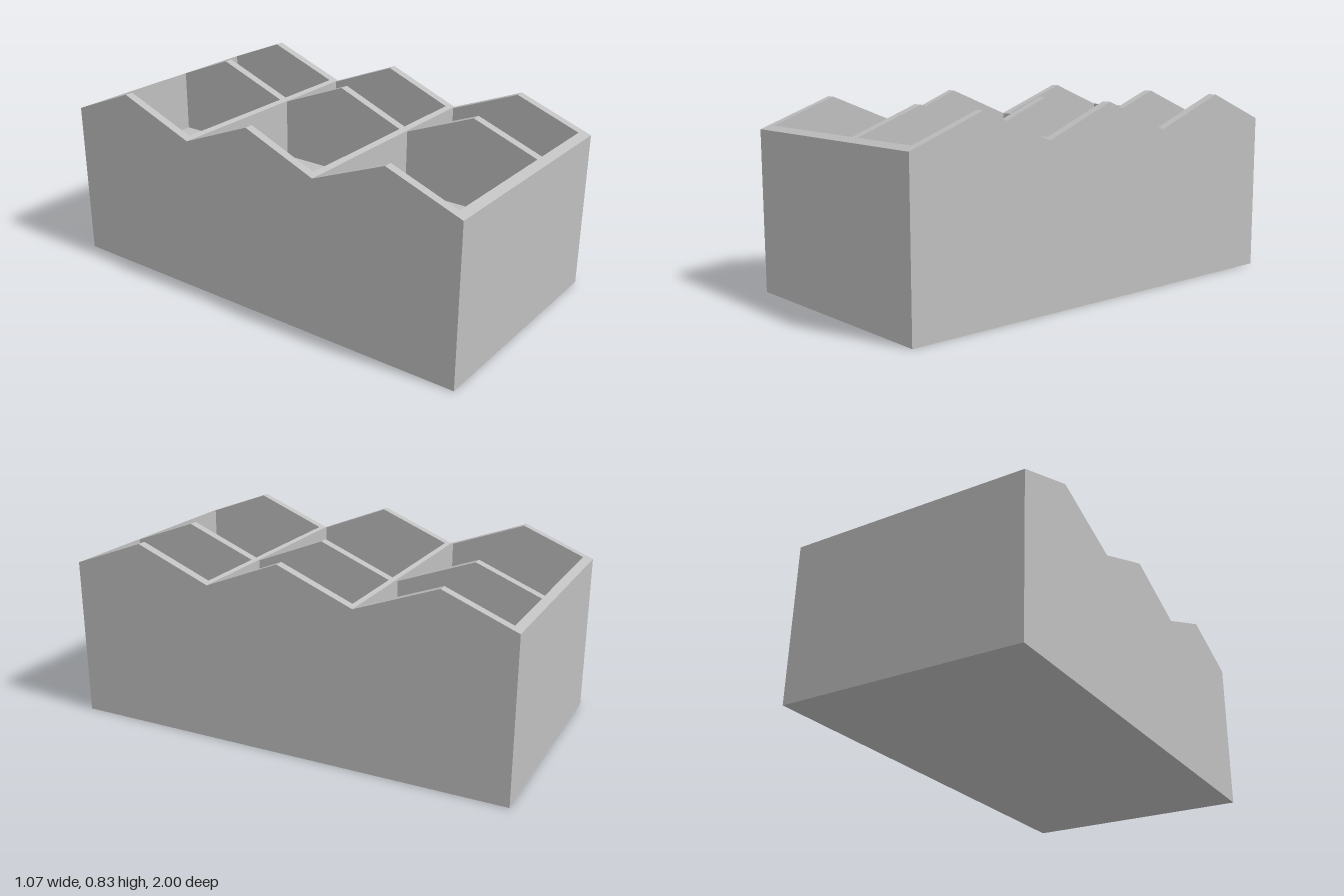
import * as THREE from 'three';

const FLOOR = 0.43;
// Roofline along the length: [z, y]
const ridge = [[-1, 0.703], [-0.69, 0.827], [-0.333, 0.693], [0, 0.827], [0.333, 0.693], [0.667, 0.827], [1, 0.703]];
// Compartment spans across and along the tray
const cellX = [[-0.495, 0.11], [0.15, 0.493]];
const cellZ = [[-0.965, -0.355], [-0.315, 0.31], [0.35, 0.96]];
const HALF = 0.533;

function ridgeHeight(z) {
  for (let i = 1; i < ridge.length; i++) {
    const [z0, y0] = ridge[i - 1], [z1, y1] = ridge[i];
    if (z <= z1) return y0 + (y1 - y0) * (z - z0) / (z1 - z0);
  }
  return ridge[ridge.length - 1][1];
}

const inSpan = (spans, v) => spans.some(([a, b]) => v > a && v < b);

export function createModel() {
  const group = new THREE.Group();
  group.name = 'compartmentTray';
  const grey = new THREE.MeshStandardMaterial({ color: 0xbfbfbf });
  grey.name = 'grey';

  // Grid lines at every wall face and every crease of the roofline
  const xs = [-HALF, ...cellX.flat(), HALF];
  const zs = [...ridge.map(p => p[0]), ...cellZ.flat()].sort((a, b) => a - b);
  const parts = { rim: [], compartmentFloors: [], compartmentWalls: [], outerWalls: [], base: [] };

  const quad = (part, a, b, c, d) => parts[part].push(...a, ...b, ...c, ...a, ...c, ...d);

  // What fills grid square (i, j): outside, compartment or wall
  const kind = (i, j) => {
    if (i < 0 || j < 0 || i >= xs.length - 1 || j >= zs.length - 1) return 'outside';
    const open = inSpan(cellX, (xs[i] + xs[i + 1]) / 2) && inSpan(cellZ, (zs[j] + zs[j + 1]) / 2);
    return open ? 'compartment' : 'wall';
  };

  // Vertical face between two points, facing the lower neighbour
  const side = (near, far, p, q) => {
    if (near === far || (near !== 'wall' && far !== 'wall')) return;
    const other = near === 'wall' ? far : near;
    const low = other === 'outside' ? 0 : FLOOR;
    const part = other === 'outside' ? 'outerWalls' : 'compartmentWalls';
    const [a, b] = near === 'wall' ? [p, q] : [q, p];
    quad(part, [a[0], low, a[1]], [b[0], low, b[1]],
      [b[0], ridgeHeight(b[1]), b[1]], [a[0], ridgeHeight(a[1]), a[1]]);
  };

  for (let i = 0; i < xs.length; i++) {
    for (let j = 0; j < zs.length; j++) {
      const x0 = xs[i], x1 = xs[i + 1], z0 = zs[j], z1 = zs[j + 1];
      const here = kind(i, j);
      if (here !== 'outside') {
        const wall = here === 'wall';
        const y0 = wall ? ridgeHeight(z0) : FLOOR, y1 = wall ? ridgeHeight(z1) : FLOOR;
        quad(wall ? 'rim' : 'compartmentFloors', [x0, y1, z1], [x1, y1, z1], [x1, y0, z0], [x0, y0, z0]);
      }
      if (z1 !== undefined) side(kind(i - 1, j), here, [x0, z1], [x0, z0]);
      if (x1 !== undefined) side(kind(i, j - 1), here, [x0, z0], [x1, z0]);
    }
  }

  // Underside
  quad('base', [-HALF, 0, -1], [HALF, 0, -1], [HALF, 0, 1], [-HALF, 0, 1]);

  for (const [name, points] of Object.entries(parts)) {
    const geometry = new THREE.BufferGeometry();
    geometry.setAttribute('position', new THREE.Float32BufferAttribute(points, 3));
    geometry.computeVertexNormals();
    const mesh = new THREE.Mesh(geometry, grey);
    mesh.name = name;
    group.add(mesh);
  }
  return group;
}
